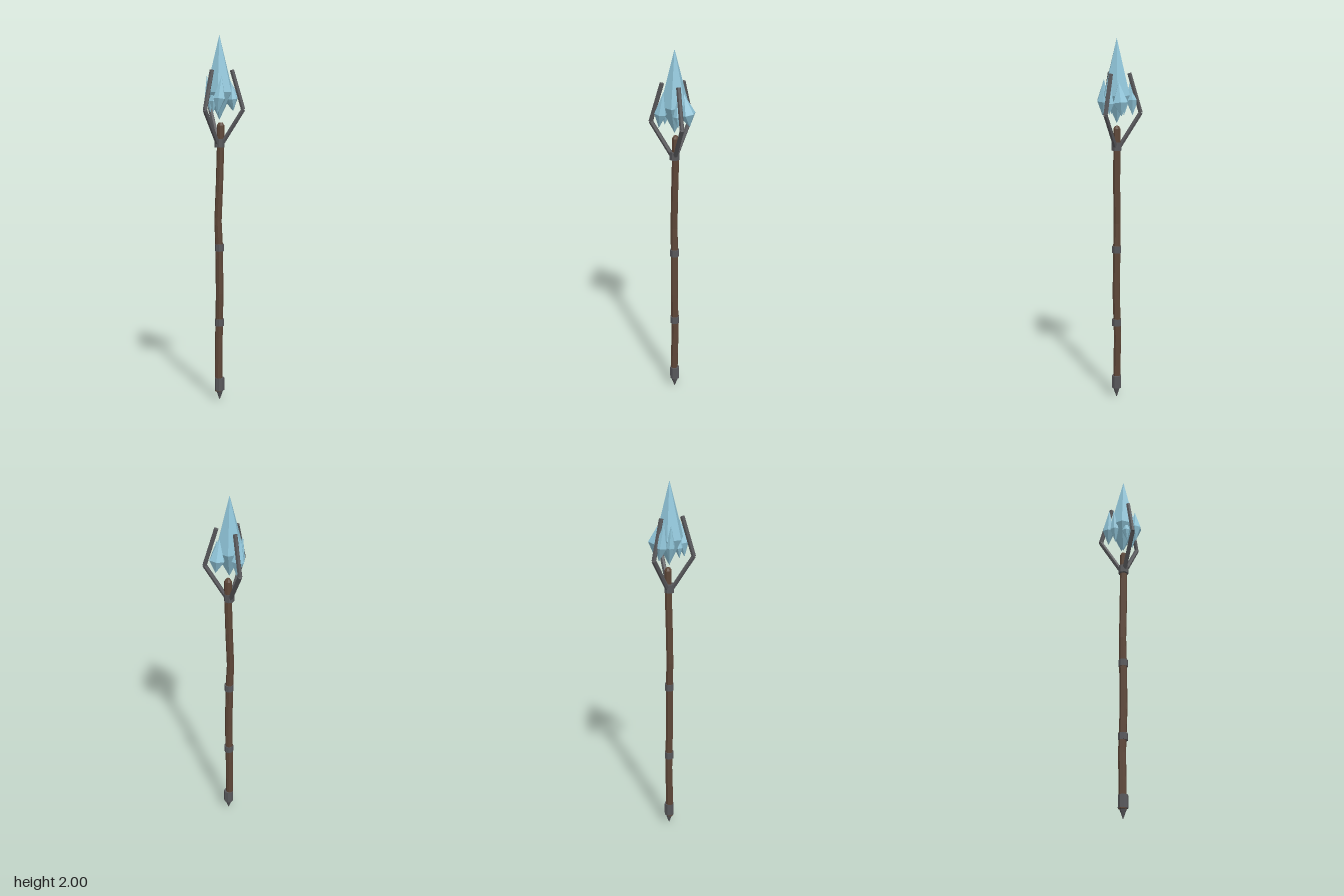
import * as THREE from 'three';

const AXIS_X = -0.03;
const mat = (name, color) => {
  const m = new THREE.MeshStandardMaterial({ color, flatShading: true });
  m.name = name;
  return m;
};

export function createModel() {
  const wood = mat('dark wood', 0x5e4738);
  const metal = mat('dark iron', 0x58585b);
  const ice = mat('pale blue crystal', 0x8fc4d8);

  const staff = new THREE.Group();
  staff.name = 'crystalStaff';

  const add = (name, geometry, material, x = AXIS_X, y = 0, z = 0) => {
    const mesh = new THREE.Mesh(geometry, material);
    mesh.name = name;
    mesh.position.set(x, y, z);
    staff.add(mesh);
    return mesh;
  };

  // Crooked shaft: each ring of a cylinder follows [y, x, z, radius]
  const rings = [
    [1.535, 0.006, -0.004, 0.011], [1.52, 0.006, -0.004, 0.02], [1.42, 0.006, -0.004, 0.02],
    [1.2, 0, 0, 0.02], [1.0, -0.008, 0.001, 0.02], [0.86, -0.002, 0, 0.021],
    [0.6, 0.001, 0.002, 0.021], [0.35, -0.004, -0.004, 0.021], [0.2, -0.005, 0, 0.021],
    [0.05, -0.005, 0.002, 0.021],
  ];
  const shaft = new THREE.CylinderGeometry(1, 1, 1, 8, rings.length - 1);
  const p = shaft.attributes.position;
  for (let i = 0; i < p.count; i++) {
    const row = Math.round((0.5 - p.getY(i)) * (rings.length - 1));
    const [y, x, z, r] = rings[row];
    p.setXYZ(i, p.getX(i) * r + x, y, p.getZ(i) * r + z);
  }
  shaft.computeVertexNormals();
  add('shaft', shaft, wood);

  // Iron bands, foot cap and spike
  for (const [name, y, h, r] of [
    ['lowerBand', 0.438, 0.038, 0.026], ['middleBand', 0.855, 0.038, 0.026],
    ['prongCollar', 1.425, 0.045, 0.028], ['footCap', 0.09, 0.07, 0.027],
  ]) add(name, new THREE.CylinderGeometry(r, r, h, 8), metal, AXIS_X, y);
  add('footSpike', new THREE.CylinderGeometry(0.021, 0.001, 0.056, 8), metal, AXIS_X, 0.028);

  // Three bent prongs around the head
  const rod = (a, b, r) => {
    const dir = b.clone().sub(a);
    const g = new THREE.CylinderGeometry(r, r, dir.length(), 6);
    g.applyQuaternion(new THREE.Quaternion().setFromUnitVectors(
      new THREE.Vector3(0, 1, 0), dir.normalize()));
    const c = a.clone().add(b).multiplyScalar(0.5);
    return g.translate(c.x, c.y, c.z);
  };
  const bends = [[0.016, 1.425], [0.128, 1.605], [0.067, 1.815]]
    .map(([r, y]) => new THREE.Vector3(r, y, 0));
  for (let i = 0; i < 3; i++) {
    const prong = new THREE.Group();
    prong.name = 'prong' + (i + 1);
    prong.position.x = AXIS_X;
    prong.rotation.y = i * Math.PI * 2 / 3;
    for (let k = 0; k < 2; k++) {
      const part = new THREE.Mesh(rod(bends[k], bends[k + 1], 0.0125), metal);
      part.name = k ? 'upperRod' : 'lowerRod';
      prong.add(part);
    }
    staff.add(prong);
  }

  // Six-sided double-pointed crystal, with its widest ring at local y = 0
  const crystal = (r, up, down) => new THREE.LatheGeometry([
    new THREE.Vector2(0, -down), new THREE.Vector2(r, 0), new THREE.Vector2(0, up),
  ], 6);
  add('mainCrystal', crystal(0.078, 0.3, 0.15), ice, AXIS_X, 1.7, 0);

  // Small shards clustered below: x, y, z, radius, up, down, tilt x, tilt z
  const shards = [
    [-0.022, 1.665, 0.078, 0.035, 0.12, 0.08, -0.1, -0.1],
    [0.028, 1.665, -0.052, 0.044, 0.11, 0.07, 0.15, 0.1],
    [-0.08, 1.67, -0.066, 0.036, 0.13, 0.08, 0.1, 0.1],
    [-0.088, 1.665, -0.018, 0.026, 0.12, 0.08, 0, 0.1],
    [0.042, 1.66, 0.005, 0.025, 0.09, 0.06, 0, 0.1],
    [-0.058, 1.65, 0.04, 0.024, 0.09, 0.06, -0.1, 0],
  ];
  shards.forEach(([x, y, z, r, up, down, tx, tz], i) => {
    add('shard' + (i + 1), crystal(r, up, down), ice, x, y, z).rotation.set(tx, 0, tz);
  });

  return staff;
}
